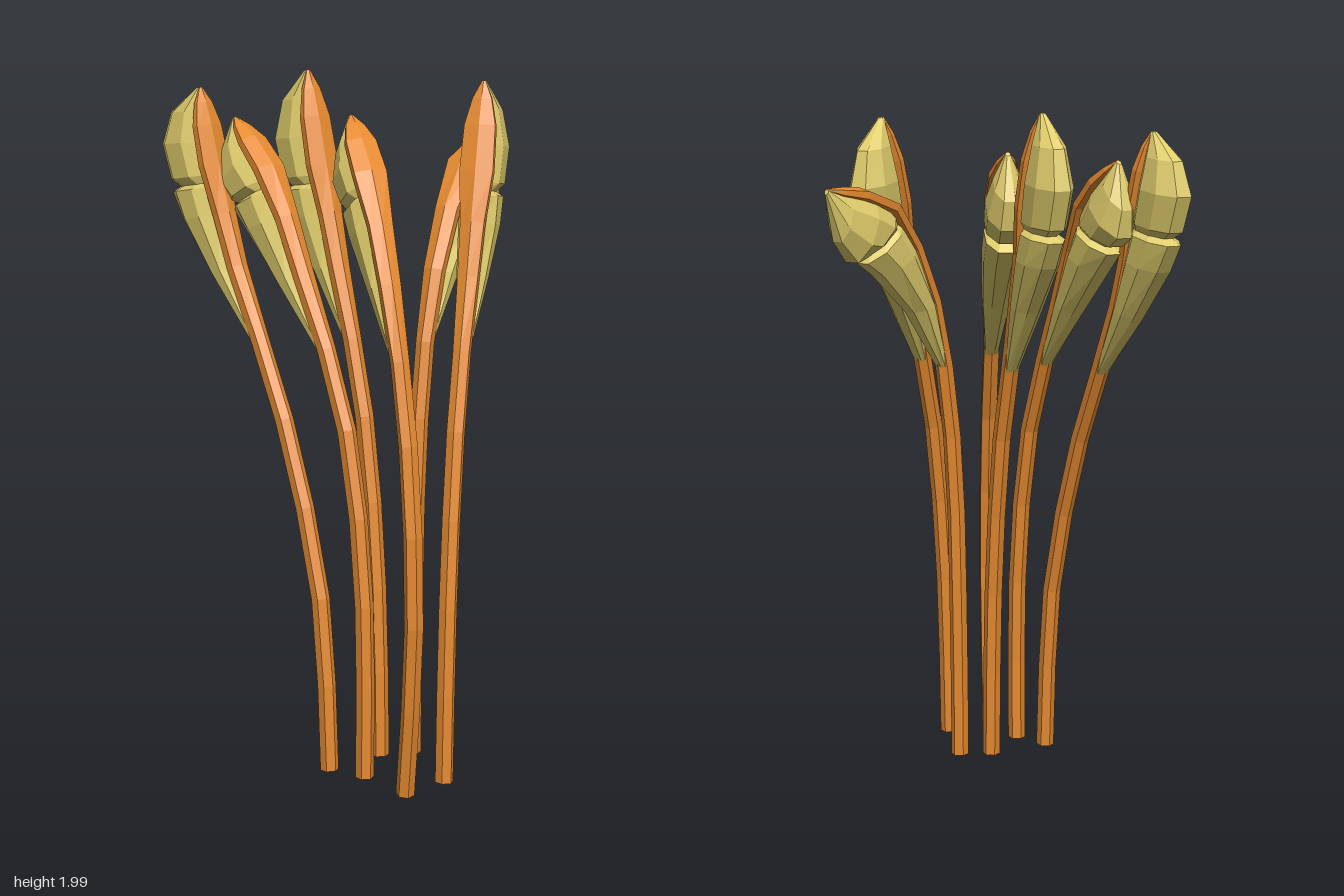
import * as THREE from 'three';

const orange = new THREE.MeshStandardMaterial({ color: 0xe58a30, flatShading: true });
const olive = new THREE.MeshStandardMaterial({ color: 0xe0cd6c, flatShading: true });
const UP = new THREE.Vector3(0, 1, 0);

// Spine heights shared by all stalks, below the tip
const heights = [0.01, 0.52, 1.02, 1.44, 1.73];

// Two bend shapes: how far the spine leans outward at each height and at the tip
const upright = [0, 0.02, 0.09, 0.225, 0.315, 0.39];
const arched = [0, 0.005, 0.085, 0.28, 0.44, 0.6];

const stalks = [
  { x: 0.1, z: 0.293, dx: -0.84, dz: -0.54, tip: 1.95, lean: [0, 0.04, 0.2, 0.41, 0.515, 0.575] },
  { x: 0.213, z: 0.32, dx: -0.82, dz: -0.57, tip: 1.865, lean: arched },
  { x: 0.358, z: 0.415, dx: -0.55, dz: -0.83, tip: 1.88, lean: [0, -0.06, 0, 0.165, 0.345, 0.515] },
  { x: 0.295, z: 0.087, dx: 0.19, dz: -0.98, tip: 1.79, lean: [0, 0.005, 0.03, 0.125, 0.325, 0.575] },
  { x: 0.442, z: 0.291, dx: 0, dz: -1, tip: 1.98, lean: upright },
  { x: 0.21, z: 0.135, dx: -0.76, dz: -0.65, tip: 2, lean: upright },
];

// Sections: [station 0-10 along the spine, half width, inner offset, outer offset]
const stemSections = [0, 1, 2, 3, 4, 5].map((s) => [s, 0.027, -0.027, 0.027]);
[[6, 0.034, 0.025], [7, 0.04, 0.024], [8, 0.056, 0.024], [9, 0.052, 0.022], [9.6, 0.032, 0.015], [10, 0.006, 0.004]]
  .forEach(([s, w, d]) => stemSections.push([s, w, -d, d]));
const sheathSections = [
  [5, 0.02, 0, 0.024], [6, 0.046, 0, 0.105], [7, 0.059, 0, 0.175], [7.55, 0.058, 0, 0.2], [7.65, 0.038, 0, 0.16],
];
const capSections = [
  [7.6, 0.036, 0, 0.155], [7.8, 0.06, 0, 0.195], [8.6, 0.064, 0, 0.205], [9.4, 0.044, 0, 0.145], [10, 0.008, -0.004, 0.014],
];

// Closed solid swept along a stalk's spine through oval sections
function sweep(stalk, sections, sides, tilt) {
  const dir = new THREE.Vector3(stalk.dx, 0, stalk.dz).normalize();
  const curve = new THREE.CatmullRomCurve3([...heights, stalk.tip].map((y, i) =>
    new THREE.Vector3(stalk.x, y, stalk.z).addScaledVector(dir, stalk.lean[i])));
  const side = new THREE.Vector3().crossVectors(dir, UP);
  const points = [], index = [];
  sections.forEach(([station, w, inner, outer]) => {
    const p = curve.getPoint(station / 10), t = curve.getTangent(station / 10);
    const n = new THREE.Vector3().crossVectors(t, side).addScaledVector(t, tilt).normalize();
    for (let i = 0; i < sides; i++) {
      const a = (i + 0.5) / sides * Math.PI * 2;
      points.push(p.clone().addScaledVector(side, w * Math.cos(a))
        .addScaledVector(n, (inner + outer) / 2 + (outer - inner) / 2 * Math.sin(a)));
    }
  });
  const last = (sections.length - 1) * sides;
  for (let i = 0; i < sides; i++) {
    const j = (i + 1) % sides;
    for (let r = 0; r < last; r += sides) {
      index.push(r + i, r + j, r + sides + j, r + i, r + sides + j, r + sides + i);
    }
    // End faces as fans from the first corner
    if (i > 0 && j > 0) index.push(0, j, i, last, last + i, last + j);
  }
  const geometry = new THREE.BufferGeometry().setFromPoints(points).setIndex(index).toNonIndexed();
  geometry.computeVertexNormals();
  return geometry;
}

export function createModel() {
  const model = new THREE.Group();
  model.name = 'budCluster';
  for (const stalk of stalks) {
    const group = new THREE.Group();
    group.name = 'stalk';
    const add = (name, sections, sides, tilt, material) => {
      const mesh = new THREE.Mesh(sweep(stalk, sections, sides, tilt), material);
      mesh.name = name;
      group.add(mesh);
    };
    // Stem running up the inner face of the bud
    add('stem', stemSections, 6, 0, orange);
    // Lower sheath and upper cap, split by a notch
    add('lowerSheath', sheathSections, 8, 0.15, olive);
    add('upperCap', capSections, 8, 0.15, olive);
    model.add(group);
  }
  return model;
}
